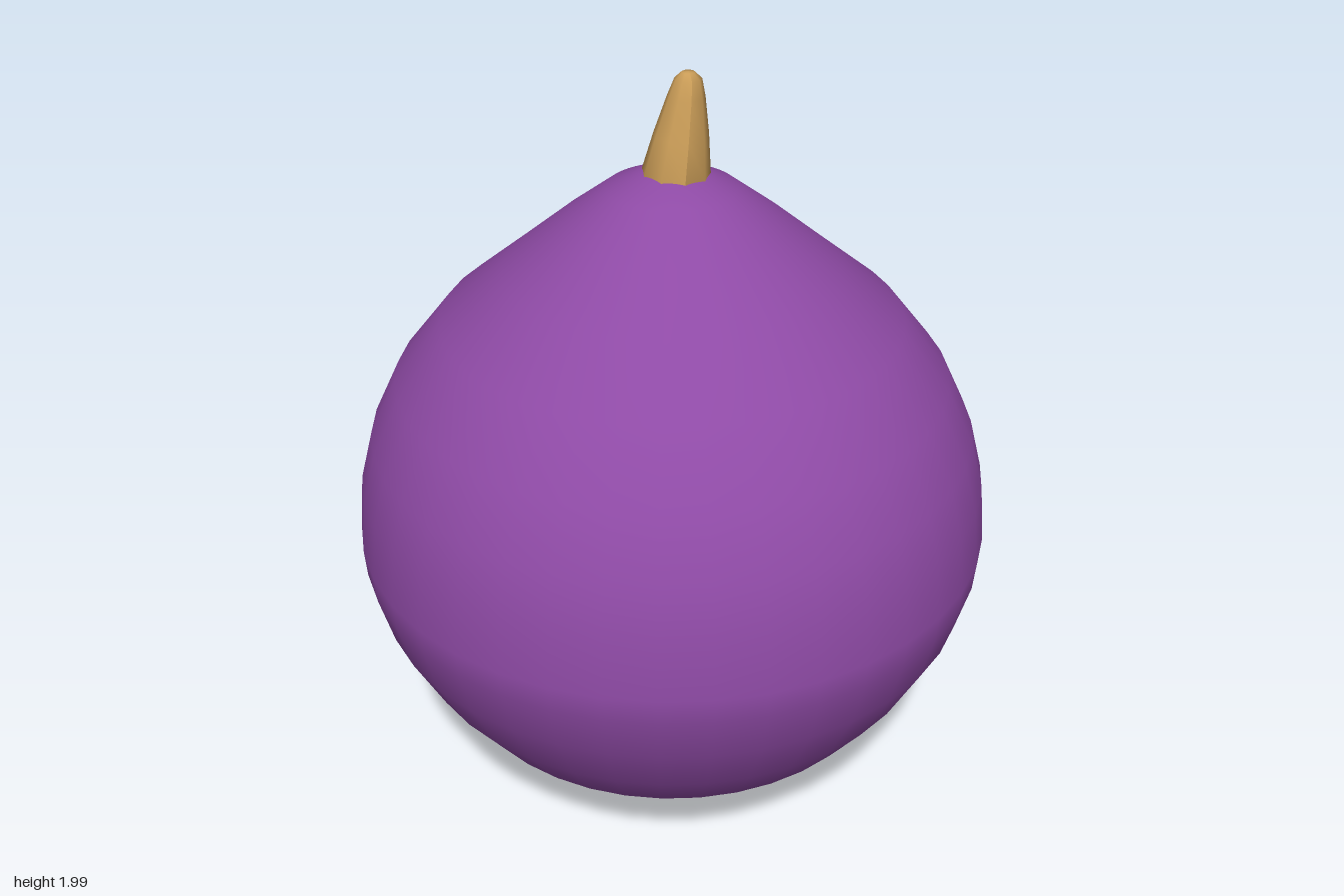
import * as THREE from 'three';

const skin = new THREE.MeshStandardMaterial({ name: 'purple skin', color: 0x8e4aa5 });
const wood = new THREE.MeshStandardMaterial({ name: 'tan stem', color: 0xc99c57 });
const pale = new THREE.MeshStandardMaterial({ name: 'pale root', color: 0xd0c4a8 });

const lathe = (profile, sides) =>
  new THREE.LatheGeometry(profile.map(([r, y]) => new THREE.Vector2(r, y)), sides);

function add(parent, name, geometry, material) {
  const mesh = new THREE.Mesh(geometry, material);
  mesh.name = name;
  parent.add(mesh);
  return mesh;
}

export function createModel() {
  const model = new THREE.Group();
  model.name = 'bulb';

  // Round bulb with a flattened base and a tapering neck
  add(model, 'body', lathe([
    [0, 0.133], [0.2, 0.136], [0.29, 0.146], [0.42, 0.195], [0.52, 0.25], [0.6, 0.32],
    [0.7, 0.455], [0.78, 0.61], [0.815, 0.74], [0.82, 0.81], [0.805, 0.96], [0.77, 1.09],
    [0.7, 1.235], [0.58, 1.385], [0.42, 1.515], [0.28, 1.63], [0.16, 1.72], [0.07, 1.76], [0, 1.765],
  ], 40), skin);

  // Stem: faceted cone leaning towards +x as it rises
  const stem = lathe([
    [0.07, 1.735], [0.086, 1.747], [0.067, 1.85], [0.046, 1.94], [0.033, 1.983], [0.016, 1.999], [0, 2],
  ], 9);
  const p = stem.attributes.position;
  for (let i = 0; i < p.count; i++) {
    p.setX(i, p.getX(i) + 0.008 + 0.135 * Math.min(p.getY(i) - 1.747, 0.23));
  }
  stem.computeVertexNormals();
  add(model, 'stem', stem, wood);

  // Root nubs: x, y, z, half width, half height
  const roots = new THREE.Group();
  roots.name = 'roots';
  model.add(roots);
  const nub = lathe([[0, -1], [0.55, -0.75], [1, 0.05], [0.6, 0.75], [0, 1]], 6);
  [
    [0.105, 0.105, 0.038, 0.021, 0.027], [0.02, 0.105, 0.112, 0.021, 0.027],
    [-0.035, 0.105, -0.112, 0.021, 0.027], [-0.115, 0.105, -0.034, 0.022, 0.027],
    [0.03, 0.033, 0.172, 0.017, 0.025], [-0.04, 0.033, -0.172, 0.017, 0.025],
    [0.165, 0.03, 0.05, 0.007, 0.007], [-0.175, 0.03, -0.05, 0.007, 0.007],
  ].forEach(([x, y, z, w, h]) => {
    const mesh = add(roots, 'rootNub', nub, pale);
    mesh.position.set(x, y, z);
    mesh.scale.set(w, h, w);
  });

  // Two longer slanted roots on opposite sides
  for (const side of [1, -1]) {
    const mesh = add(roots, 'slantedRoot', nub, pale);
    mesh.position.set(side * 0.108, 0.075, side * -0.092);
    mesh.scale.set(0.017, 0.046, 0.015);
    mesh.rotation.set(side * 0.35, 0, side * 0.4);
  }
  return model;
}
